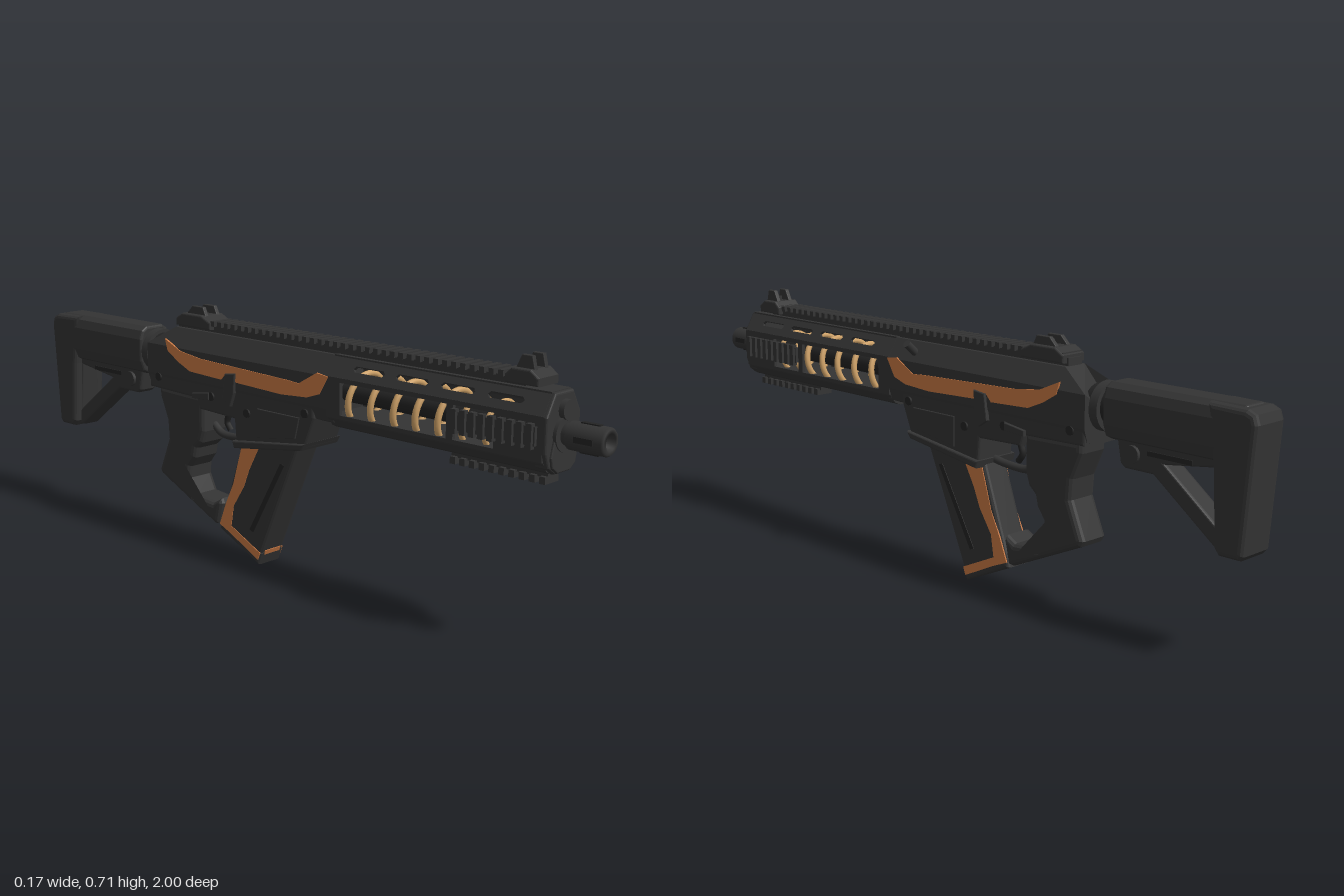
import * as THREE from 'three';

const mat = (name, color) => Object.assign(new THREE.MeshStandardMaterial({ color }), { name });

export function createModel() {
  const body = mat('charcoal', 0x343434), dark = mat('nearBlack', 0x232323);
  const orange = mat('orange', 0xc87843), copper = mat('paleCopper', 0xcfa268);
  const root = new THREE.Group();
  root.name = 'toyBlaster';
  root.position.x = -0.004;

  const add = (name, geo, m = body, x = 0, y = 0, z = 0) => {
    const mesh = new THREE.Mesh(geo, m);
    mesh.name = name;
    mesh.position.set(x, y, z);
    root.add(mesh);
    return mesh;
  };
  const outline = (pts) => pts.map(([a, b]) => new THREE.Vector2(a, b));
  const extrude = (pts, depth, bevel, holes) => {
    const shape = new THREE.Shape(outline(pts));
    holes.forEach((h) => shape.holes.push(new THREE.Path(outline(h))));
    return new THREE.ExtrudeGeometry(shape, {
      depth: depth - 2 * bevel, bevelEnabled: bevel > 0, bevelSize: bevel,
      bevelThickness: bevel, bevelOffset: -bevel, bevelSegments: 3,
    }).translate(0, 0, bevel - depth / 2);
  };
  // Side profile given as [z, y], extruded across x
  const side = (pts, width, bevel = 0, holes = []) => extrude(pts, width, bevel, holes).rotateY(-Math.PI / 2);
  // Cross-section given as [x, y], extruded from z0 to z1
  const section = (pts, z0, z1, bevel = 0) => extrude(pts, z1 - z0, bevel, []).translate(0, 0, (z0 + z1) / 2);
  const mirrorPts = (half) => [...half, ...half.map(([x, y]) => [-x, y]).reverse()];
  const rect = (a, b, c, d) => [[a, c], [b, c], [b, d], [a, d]];
  const box = (name, w, h, d, x, y, z, m) => add(name, new THREE.BoxGeometry(w, h, d), m, x, y, z);
  const tubeZ = (name, r, z0, z1, y, m, sides = 24) =>
    add(name, new THREE.CylinderGeometry(r, r, z1 - z0, sides).rotateX(Math.PI / 2), m, 0, y, (z0 + z1) / 2);
  const pin = (name, r, width, y, z, m) =>
    add(name, new THREE.CylinderGeometry(r, r, width, 14).rotateZ(Math.PI / 2), m, 0, y, z);

  // Muzzle with open bore, and barrel
  const muzzle = [[0, 0.86], [0.026, 0.86], [0.026, 0.895], [0.034, 0.9], [0.034, 0.995], [0.03, 1],
    [0.02, 1], [0.018, 0.96], [0, 0.96]];
  add('muzzle', new THREE.LatheGeometry(outline(muzzle), 28).rotateX(Math.PI / 2), body, 0, 0.54, 0);
  for (let i = 0; i < 4; i++) {
    const a = i * Math.PI / 2;
    const slot = box('muzzleSlot', 0.014, 0.004, 0.05, Math.sin(a) * 0.034, 0.54 + Math.cos(a) * 0.034, 0.95, dark);
    slot.rotation.z = -a;
  }
  tubeZ('barrel', 0.028, 0.2, 0.87, 0.54, dark);
  tubeZ('barrelCollar', 0.043, 0.8, 0.885, 0.54, body);
  tubeZ('gasPlug', 0.024, 0.83, 0.89, 0.597, body);

  // Handguard: trough, roof, front cap and rear collar
  const low = mirrorPts([[0.067, 0.49], [0.06, 0.475], [0.045, 0.455], [0.028, 0.447]]);
  add('handguardBottom', section(low, 0.2, 0.865));
  add('handguardRoof', section(rect(-0.038, 0.038, 0.625, 0.64), 0.2, 0.865));
  const hex = mirrorPts([[0.036, 0.638], [0.067, 0.585], [0.067, 0.5], [0.055, 0.465], [0.028, 0.447]]);
  add('handguardFrontCap', section(hex, 0.838, 0.876, 0.006));
  add('barrelLobe', section(mirrorPts([[0.02, 0.575], [0.036, 0.55], [0.052, 0.49], [0.046, 0.465], [0.025, 0.45]]),
    0.85, 0.882, 0.004));

  // Handguard side walls with coil window, and sloped panels with slots
  const tilt = Math.atan2(0.031, 0.053);
  const slots = [0.75, 0.61, 0.47, 0.33].map((z) => [[z - 0.052, 0.03], [z - 0.045, 0.022], [z + 0.045, 0.022],
    [z + 0.052, 0.03], [z + 0.045, 0.038], [z - 0.045, 0.038]]);
  for (const s of [1, -1]) {
    add('handguardWall', side(rect(0.2, 0.865, 0.48, 0.587), 0.01, 0,
      [rect(0.245, 0.59, 0.49, 0.575), rect(0.61, 0.73, 0.49, 0.575)]), body, s * 0.062);
    add('slottedPanel', side(rect(0.2, 0.865, 0, 0.06), 0.008, 0, slots), body, s * 0.063, 0.585)
      .rotation.z = s * tilt;
    // Toothed side rail
    box('sideRailBase', 0.012, 0.045, 0.24, s * 0.07, 0.54, 0.73);
    for (let i = 0; i < 9; i++) box('sideRailTooth', 0.014, 0.06, 0.016, s * 0.077, 0.54, 0.622 + i * 0.027);
  }

  // Copper coils round the barrel
  for (const z of [0.565, 0.495, 0.425, 0.35, 0.275]) {
    add('coil', new THREE.TorusGeometry(0.067, 0.0085, 8, 36), copper, 0, 0.53, z).rotation.x = 0.15;
  }
  for (const z of [0.7, 0.63]) {
    add('smallCoil', new THREE.TorusGeometry(0.06, 0.007, 8, 32), copper, 0, 0.53, z).rotation.x = 0.15;
  }

  // Toothed rails above and below
  box('topRail', 0.05, 0.03, 1.21, 0, 0.643, 0.18);
  for (let i = 0; i < 44; i++) box('topRailTooth', 0.07, 0.015, 0.015, 0, 0.663, 0.775 - i * 0.0275);
  box('lowerRail', 0.032, 0.02, 0.28, 0, 0.442, 0.71);
  for (let i = 0; i < 10; i++) box('lowerRailTooth', 0.054, 0.018, 0.016, 0, 0.427, 0.842 - i * 0.029);

  // Sights
  const sight = (name, z0, z1, top) => {
    const len = z0 - z1, mid = (z0 + z1) / 2;
    add(name + 'Base', side([[z0, 0.645], [z0, 0.665], [z0 - len * 0.25, 0.682], [z1 + len * 0.2, 0.682],
      [z1, 0.665], [z1, 0.645]], 0.082, 0.005));
    for (const s of [1, -1]) {
      add(name + 'Ear', side([[mid + len * 0.3, 0.675], [mid + len * 0.2, top], [mid - len * 0.1, top],
        [mid - len * 0.3, 0.675]], 0.013, 0.002), body, s * 0.021);
    }
    box(name + 'Post', 0.008, 0.016, 0.01, 0, 0.687, mid);
  };
  sight('frontSight', 0.83, 0.735, 0.713);
  sight('rearSight', -0.275, -0.42, 0.704);

  // Upper receiver, its rear end sloped forward near the top
  const upper = section(hex.map(([x, y]) => [x, Math.max(y, 0.455)]), -0.517, 0.215);
  const p = upper.attributes.position;
  for (let i = 0; i < p.count; i++) {
    if (p.getZ(i) < -0.5) p.setZ(i, p.getZ(i) + Math.max(0, p.getY(i) - 0.585) * 1.75);
  }
  upper.computeVertexNormals();
  add('upperReceiver', upper);

  // Lower receiver with flared magazine well
  add('lowerReceiver', side([[0.15, 0.5], [0.15, 0.465], [0.115, 0.38], [-0.148, 0.337], [-0.155, 0.415],
    [-0.3, 0.42], [-0.31, 0.45], [-0.515, 0.455], [-0.515, 0.5]], 0.128, 0.008));
  add('magazineWellLip', side([[0.122, 0.392], [0.11, 0.372], [-0.148, 0.334], [-0.155, 0.355]], 0.148, 0.006));

  // Orange panels, pins and selectors on both sides
  const stripe = [[0.205, 0.585], [0.165, 0.59], [0.1, 0.553], [0.055, 0.556], [-0.285, 0.567], [-0.37, 0.578],
    [-0.435, 0.606], [-0.425, 0.573], [-0.38, 0.546], [-0.33, 0.525], [-0.2, 0.52], [-0.18, 0.541],
    [-0.137, 0.52], [0.035, 0.514], [0.13, 0.52], [0.175, 0.535]];
  const magStripe = [[-0.072, 0.35], [-0.142, 0.342], [-0.18, 0.22], [-0.212, 0.155], [-0.238, 0.09], [-0.19, 0.07],
    [-0.083, 0.018], [-0.074, 0.04], [-0.19, 0.094], [-0.18, 0.155], [-0.137, 0.22], [-0.115, 0.273]];
  for (const s of [1, -1]) {
    add('receiverStripe', side(stripe, 0.006), orange, s * 0.0665);
    add('magazineStripe', side(magStripe, 0.004), orange, s * 0.0435);
    add('magazineGroove', side([[0.022, 0.31], [0.008, 0.315], [-0.115, 0.1], [-0.1, 0.095]], 0.004), dark, s * 0.0435);
    add('boltCatch', side([[-0.14, 0.545], [-0.18, 0.54], [-0.19, 0.47], [-0.16, 0.45], [-0.145, 0.49]], 0.014, 0.003),
      body, s * 0.068);
    add('wellPanel', side([[0.1, 0.46], [0.085, 0.4], [-0.06, 0.378], [-0.06, 0.46]], 0.008, 0.002), body, s * 0.064);
    add('selectorLever', side([[-0.25, 0.475], [-0.32, 0.465], [-0.32, 0.45], [-0.25, 0.455]], 0.012, 0.002), body, s * 0.067);
  }
  for (const [y, z] of [[0.475, 0.12], [0.465, -0.245], [0.49, -0.47], [0.44, -0.1]]) {
    pin('receiverPin', 0.012, 0.139, y, z, dark);
  }
  const handle = add('chargingHandle', new THREE.CylinderGeometry(0.011, 0.011, 0.06, 14), body, 0.06, 0.617, 0.108);
  handle.rotation.z = -0.85;

  // Magazine and base
  add('magazine', side([[0.085, 0.4], [-0.075, 0.03], [-0.235, 0.1], [-0.143, 0.36], [-0.143, 0.4]], 0.088, 0.012));
  add('magazineBase', side([[-0.07, 0.038], [-0.083, 0.002], [-0.243, 0.075], [-0.232, 0.112]], 0.088, 0.01));
  add('magazineFrontBand', side([[-0.0665, 0.045], [-0.073, 0.03], [-0.08, 0.034], [-0.073, 0.048]], 0.06), orange);

  // Trigger and guard
  const wire = (name, pts, r, m) => add(name, new THREE.TubeGeometry(
    new THREE.CatmullRomCurve3(pts.map(([z, y]) => new THREE.Vector3(0, y, z))), 20, r, 8), m);
  wire('triggerGuard', [[-0.145, 0.35], [-0.19, 0.343], [-0.27, 0.343], [-0.305, 0.365]], 0.011);
  wire('trigger', [[-0.235, 0.425], [-0.245, 0.4], [-0.25, 0.38], [-0.235, 0.358]], 0.009, dark);

  // Grip sweeping into the lower bridge
  add('grip', side([[-0.3, 0.455], [-0.3, 0.35], [-0.312, 0.315], [-0.335, 0.295], [-0.342, 0.265], [-0.365, 0.235],
    [-0.368, 0.2], [-0.345, 0.155], [-0.265, 0.148], [-0.235, 0.165], [-0.228, 0.15], [-0.242, 0.087], [-0.26, 0.085],
    [-0.492, 0.19], [-0.5, 0.205], [-0.458, 0.305], [-0.462, 0.36], [-0.492, 0.43], [-0.492, 0.46]], 0.098, 0.016));

  // Stock: neck ring, tube, cheek body, strut and butt
  tubeZ('stockNeck', 0.05, -0.6, -0.5, 0.555, dark);
  tubeZ('stockRing', 0.063, -0.55, -0.525, 0.552, body);
  const cheek = mirrorPts([[0.03, 0.622], [0.048, 0.61], [0.056, 0.585], [0.056, 0.52], [0.045, 0.49], [0.025, 0.48]]);
  add('stockBody', section(cheek, -0.96, -0.562, 0.008));
  add('stockStrut', side([[-0.585, 0.5], [-0.6, 0.425], [-0.615, 0.415], [-0.7, 0.415], [-0.89, 0.272], [-0.95, 0.27],
    [-0.95, 0.5]], 0.062, 0.008, [[[-0.735, 0.445], [-0.88, 0.465], [-0.892, 0.325]]]));
  add('stockButt', side([[-0.865, 0.62], [-0.97, 0.618], [-0.992, 0.608], [-1, 0.585], [-0.978, 0.28], [-0.968, 0.268],
    [-0.91, 0.268], [-0.897, 0.285], [-0.885, 0.47]], 0.112, 0.014));
  pin('stockLatch', 0.022, 0.08, 0.455, -0.64, body);
  for (const s of [1, -1]) {
    box('stockSlot', 0.003, 0.012, 0.13, s * 0.0325, 0.465, -0.75, dark);
  }
  return root;
}
